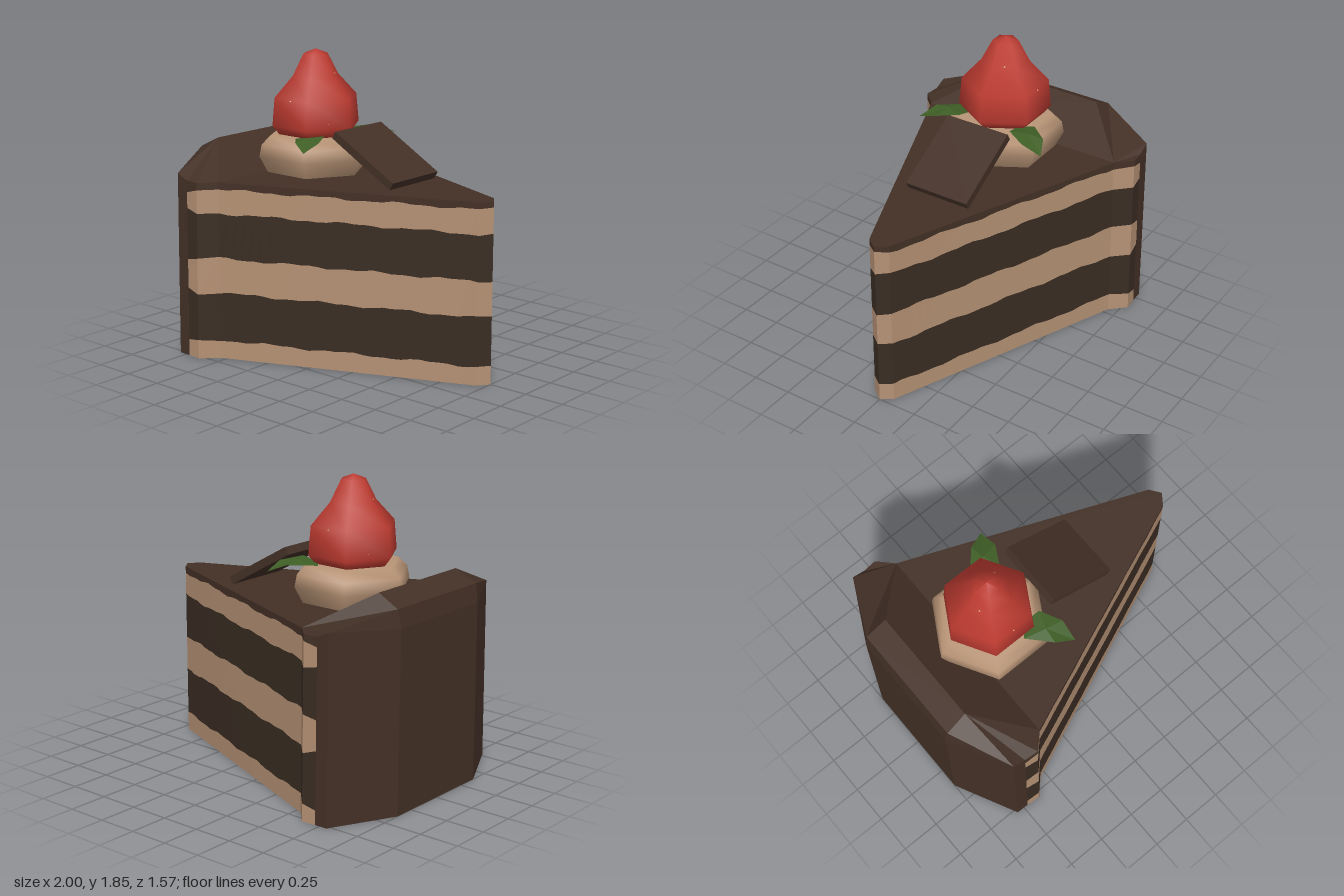
import * as THREE from 'three';

const mat = (name, color, side = THREE.FrontSide) => {
  const m = new THREE.MeshStandardMaterial({ color, side });
  m.name = name;
  return m;
};

// Flat-shaded surface from a list of convex polygons
function surface(polygons) {
  const pos = [];
  for (const p of polygons)
    for (let i = 1; i < p.length - 1; i++) pos.push(...p[0], ...p[i], ...p[i + 1]);
  const g = new THREE.BufferGeometry();
  g.setAttribute('position', new THREE.Float32BufferAttribute(pos, 3));
  g.computeVertexNormals();
  return g;
}
const flipZ = ([x, y, z]) => [x, y, -z];
const mirrored = (polys) => [...polys, ...polys.map((p) => p.map(flipZ).reverse())];

export function createModel() {
  const group = new THREE.Group();
  const sponge = mat('chocolate sponge', 0x3a2d23, THREE.DoubleSide);
  const filling = mat('cream filling', 0xb59174, THREE.DoubleSide);
  const frosting = mat('chocolate frosting', 0x433026, THREE.DoubleSide);
  const whipped = mat('whipped cream', 0xb89476);
  const red = mat('strawberry red', 0xbb3a30);
  const seedMat = mat('seed', 0xd9b070);
  const green = mat('leaf green', 0x3f5f26, THREE.DoubleSide);

  const add = (name, geo, material, parent = group) => {
    const m = new THREE.Mesh(geo, material);
    m.name = name;
    parent.add(m);
    return m;
  };

  const H = 1.1;
  const at = ([x, z], y) => [x, y, z * (1 - 0.02 * y / H)]; // walls lean in slightly

  // Cut sides: plan path from one back corner, round the tip, to the other
  const half = [[-0.72, 0.777], [-0.63, 0.785], [-0.54, 0.69]];
  for (let i = 1; i <= 28; i++) half.push([-0.54 + 1.49 * i / 28, 0.69 - 0.62 * i / 28]);
  const path = [...half, [1, 0], ...half.map(([x, z]) => [x, -z]).reverse()];

  // Wavy layer boundaries, cream pinched at the back ends
  const levels = [0, 0.115, 0.415, 0.632, 0.91, 1.058, H];
  const level = (k, i) => {
    if (k === 0 || k === 6) return levels[k];
    const wave = 0.006 * Math.sin(i * 0.75 + k * 2.1) + 0.004 * Math.sin(i * 1.9 + k);
    const end = i === 0 || i === path.length - 1;
    return levels[k] + wave + (end ? (k % 2 ? -0.02 : 0.02) : 0);
  };
  for (let k = 0; k < 6; k++) {
    const quads = [];
    for (let i = 0; i < path.length - 1; i++) {
      const a = path[i], b = path[i + 1];
      quads.push([at(a, level(k, i)), at(b, level(k, i + 1)),
        at(b, level(k + 1, i + 1)), at(a, level(k + 1, i))]);
    }
    const [name, m] = k === 5 ? ['topFrostingEdge', frosting]
      : k % 2 ? ['spongeLayer', sponge] : ['creamLayer', filling];
    add(name, surface(quads), m);
  }

  // Frosted back wall, with a bevelled rim at the rear
  const joint = half[0], corner = [-0.8, 0.775], rear = [-1, 0.38];
  const rim = [-0.98, 1.22, 0.38], ridge = [-0.84, 1.29, 0.37];
  const cornerTop = at(corner, 1.135), rearTop = at(rear, 1.11);
  add('backFrosting', surface([
    ...mirrored([
      [at(corner, 0), at(joint, 0), at(joint, H), cornerTop],
      [at(rear, 0), at(corner, 0), cornerTop, rearTop],
      [rearTop, cornerTop, rim],
    ]),
    [flipZ(at(rear, 0)), at(rear, 0), rearTop, flipZ(rearTop)],
    [flipZ(rearTop), rearTop, rim, flipZ(rim)],
  ]), frosting);

  // Top frosting: flat wedge rising to a ridge at the back
  const shoulder = at([-0.54, 0.69], H), tipSide = at([0.95, 0.07], H);
  add('topFrosting', surface([
    [[1, H, 0], flipZ(tipSide), flipZ(shoulder), shoulder, tipSide],
    [shoulder, flipZ(shoulder), flipZ(ridge), ridge],
    [ridge, flipZ(ridge), flipZ(rim), rim],
    ...mirrored([
      [ridge, rim, cornerTop, at(joint, H), at(half[1], H), shoulder],
    ]),
  ]), frosting);

  // Six-sided whipped cream and strawberry
  const lathe = (pts) => {
    const g = new THREE.LatheGeometry(pts.map(([r, y]) => new THREE.Vector2(r, y)), 6);
    return g.rotateY(Math.PI / 2).translate(-0.36, 0, 0);
  };
  add('whippedCream', lathe([[0.31, 1.095], [0.365, 1.2], [0.35, 1.275], [0.29, 1.33], [0, 1.335]]), whipped);
  const berry = [[0, 1.325], [0.235, 1.33], [0.28, 1.385], [0.264, 1.56], [0.145, 1.69], [0.078, 1.82], [0, 1.85]];
  add('strawberry', lathe(berry), red);

  // Tiny seeds on the strawberry faces
  const seeds = new THREE.Group();
  seeds.name = 'seeds';
  group.add(seeds);
  const spots = [[1.42, 0.27], [1.55, 0.262], [1.7, 0.136]];
  for (let f = 0; f < 6; f++) {
    const [y, r] = spots[f % 3];
    const a = Math.PI / 6 + f * Math.PI / 3;
    const d = r * Math.cos(Math.PI / 6);
    const s = add('seed', new THREE.OctahedronGeometry(0.009), seedMat, seeds);
    s.position.set(-0.36 + d * Math.cos(a), y, d * Math.sin(a));
  }

  // Leaves drooping from under the strawberry, folded along the midrib
  const base = [-0.24, 1.335, 0.17], mid = [-0.17, 1.36, 0.29], tip = [-0.07, 1.3, 0.435];
  const left = [[-0.3, 1.335, 0.25], [-0.18, 1.345, 0.385]];
  const right = [[-0.13, 1.36, 0.18], [-0.06, 1.345, 0.31]];
  add('leaves', surface(mirrored([
    [base, left[0], mid], [left[0], left[1], mid], [left[1], tip, mid],
    [tip, right[1], mid], [right[1], right[0], mid], [right[0], base, mid],
  ])), green);

  // Chocolate piece leaning on the cream
  const bar = add('chocolatePiece', new THREE.BoxGeometry(0.51, 0.05, 0.425), frosting);
  bar.position.set(0.18, 1.255, -0.018);
  bar.rotation.z = -0.515;

  return group;
}
